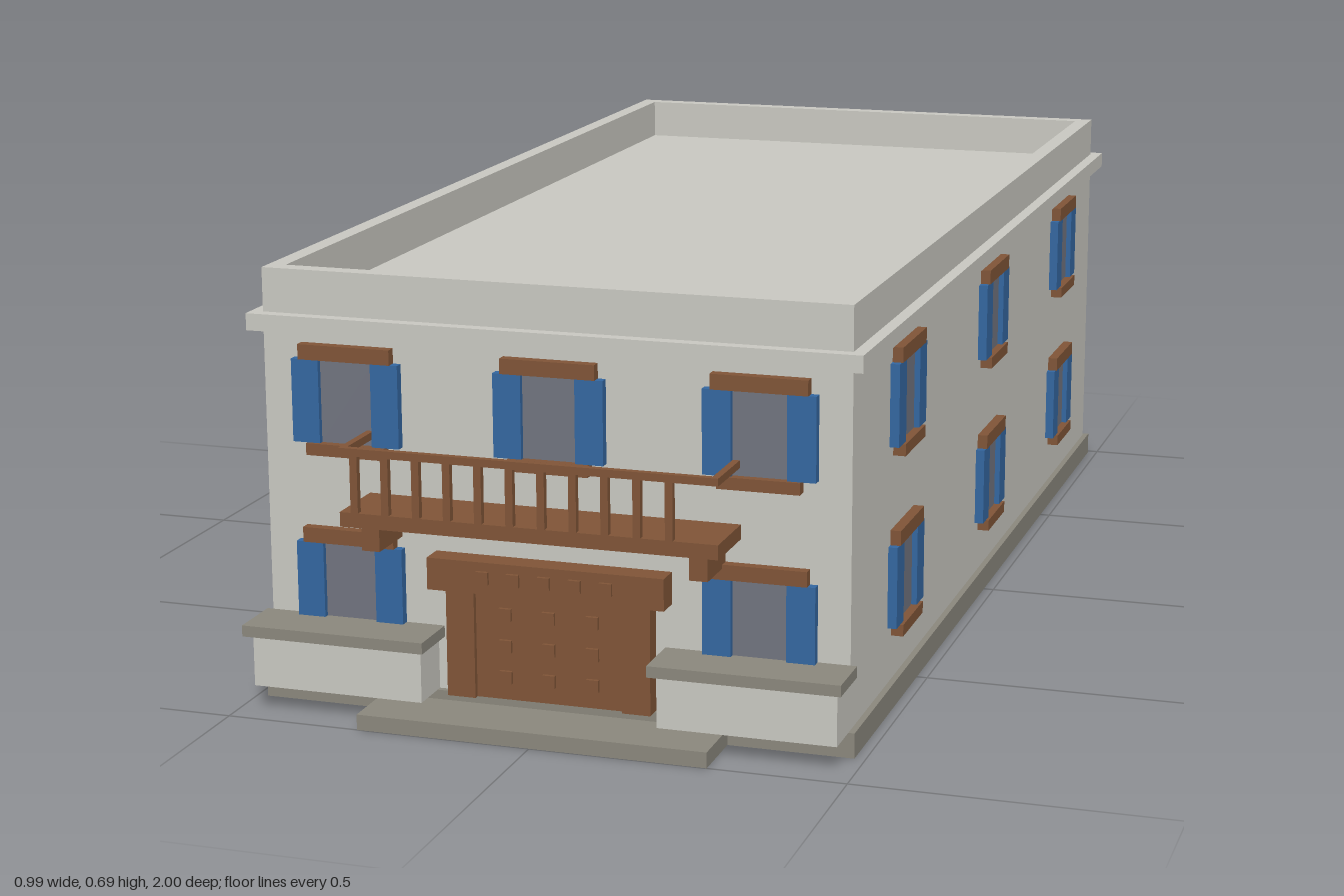
import * as THREE from 'three';

const mat = (name, color) => {
  const m = new THREE.MeshStandardMaterial({ color });
  m.name = name;
  return m;
};

export function createModel() {
  const plaster = mat('plaster', 0xc8c7c0);
  const stone = mat('stone', 0x8a877c);
  const wood = mat('wood', 0x7f5437);
  const blue = mat('shutterBlue', 0x33669f);
  const glass = mat('glass', 0x70737e);

  const model = new THREE.Group();
  model.name = 'building';

  // Box given by its min and max on each axis
  const box = (name, m, x0, x1, y0, y1, z0, z1, parent = model) => {
    const mesh = new THREE.Mesh(new THREE.BoxGeometry(x1 - x0, y1 - y0, z1 - z0), m);
    mesh.position.set((x0 + x1) / 2, (y0 + y1) / 2, (z0 + z1) / 2);
    mesh.name = name;
    parent.add(mesh);
    return mesh;
  };

  // Main block
  const W = 0.473, F = 0.885, B = -0.978, mid = (F + B) / 2;
  box('base', stone, -W - 0.01, W + 0.01, 0, 0.04, B - 0.01, F + 0.01);
  box('walls', plaster, -W, W, 0.04, 0.61, B, F);
  box('cornice', plaster, -W - 0.02, W + 0.02, 0.598, 0.625, B - 0.02, F + 0.02);

  // Parapet ring around the flat roof
  const t = 0.028;
  const ring = new THREE.Shape();
  const rect = (p, x, z0, z1) =>
    p.moveTo(-x, z0).lineTo(x, z0).lineTo(x, z1).lineTo(-x, z1).closePath();
  rect(ring, W, -F, -B);
  const hole = new THREE.Path();
  rect(hole, W - t, -F + t, -B - t);
  ring.holes.push(hole);
  const parapetGeo = new THREE.ExtrudeGeometry(ring, { depth: 0.07, bevelEnabled: false });
  parapetGeo.rotateX(-Math.PI / 2);
  const parapet = new THREE.Mesh(parapetGeo, plaster);
  parapet.name = 'parapet';
  parapet.position.y = 0.625;
  model.add(parapet);

  // Window with shutters, lintel and sill; local z = 0 is the wall face
  const addWindow = (x, y, z, turn) => {
    const g = new THREE.Group();
    g.name = 'window';
    box('pane', glass, -0.045, 0.045, 0, 0.132, -0.002, 0.006, g);
    for (const s of [-1, 1]) {
      const c = s * 0.066;
      box('shutter', blue, c - 0.0225, c + 0.0225, 0, 0.132, -0.002, 0.015, g);
    }
    box('lintel', wood, -0.076, 0.076, 0.132, 0.156, -0.002, 0.017, g);
    box('sill', wood, -0.065, 0.065, -0.019, 0, -0.002, 0.02, g);
    g.position.set(x, y, z);
    g.rotation.y = turn;
    model.add(g);
  };
  const floors = [0.132, 0.425];
  for (const y of floors) {
    for (const s of [-1, 1]) {
      addWindow(s * 0.333, y, F, 0);
      addWindow(s * 0.252, y, B, Math.PI);
      for (const dz of [-0.62, 0, 0.62]) addWindow(s * W, y, mid + dz, s * Math.PI / 2);
    }
  }
  addWindow(0, floors[1], F, 0);

  // Entrance step and the low walls beside it
  box('step', stone, -0.283, 0.283, 0, 0.025, F, 1);
  for (const s of [-1, 1]) {
    const side = (name, m, a, b, ...r) => box(name, m, Math.min(s * a, s * b), Math.max(s * a, s * b), ...r);
    side('porchWall', plaster, 0.191, W, 0.04, 0.125, F, 0.96);
    side('porchCap', stone, 0.181, W + 0.01, 0.125, 0.143, F, 0.978);
    side('doorJamb', wood, 0.12, 0.166, 0.04, 0.213, F, 0.914);
    side('balconyBracket', wood, 0.248, 0.277, 0.282, 0.325, F, 0.975);
    side('sideRail', wood, 0.29, 0.301, 0.437, 0.449, F, 1);
  }

  // Door with raised studs
  box('door', wood, -0.12, 0.12, 0.04, 0.213, F, 0.905);
  box('doorLintel', wood, -0.192, 0.192, 0.213, 0.264, F, 0.925);
  const stud = (x, y, z) => box('stud', wood, x - 0.01, x + 0.01, y - 0.01, y + 0.01, z, z + 0.007);
  for (const y of [0.077, 0.127, 0.178]) for (const x of [-0.071, 0, 0.071]) stud(x, y, 0.904);
  for (let i = -2; i <= 2; i++) stud(i * 0.05, 0.24, 0.924);

  // Balcony and railing
  box('balconySlab', wood, -0.301, 0.301, 0.325, 0.348, F, 1);
  box('frontRail', wood, -0.29, 0.29, 0.437, 0.449, 0.989, 1);
  for (let i = 0; i < 11; i++) {
    const x = -0.277 + i * 0.0502;
    box('baluster', wood, x - 0.006, x + 0.006, 0.348, 0.437, 0.989, 1);
  }

  return model;
}
